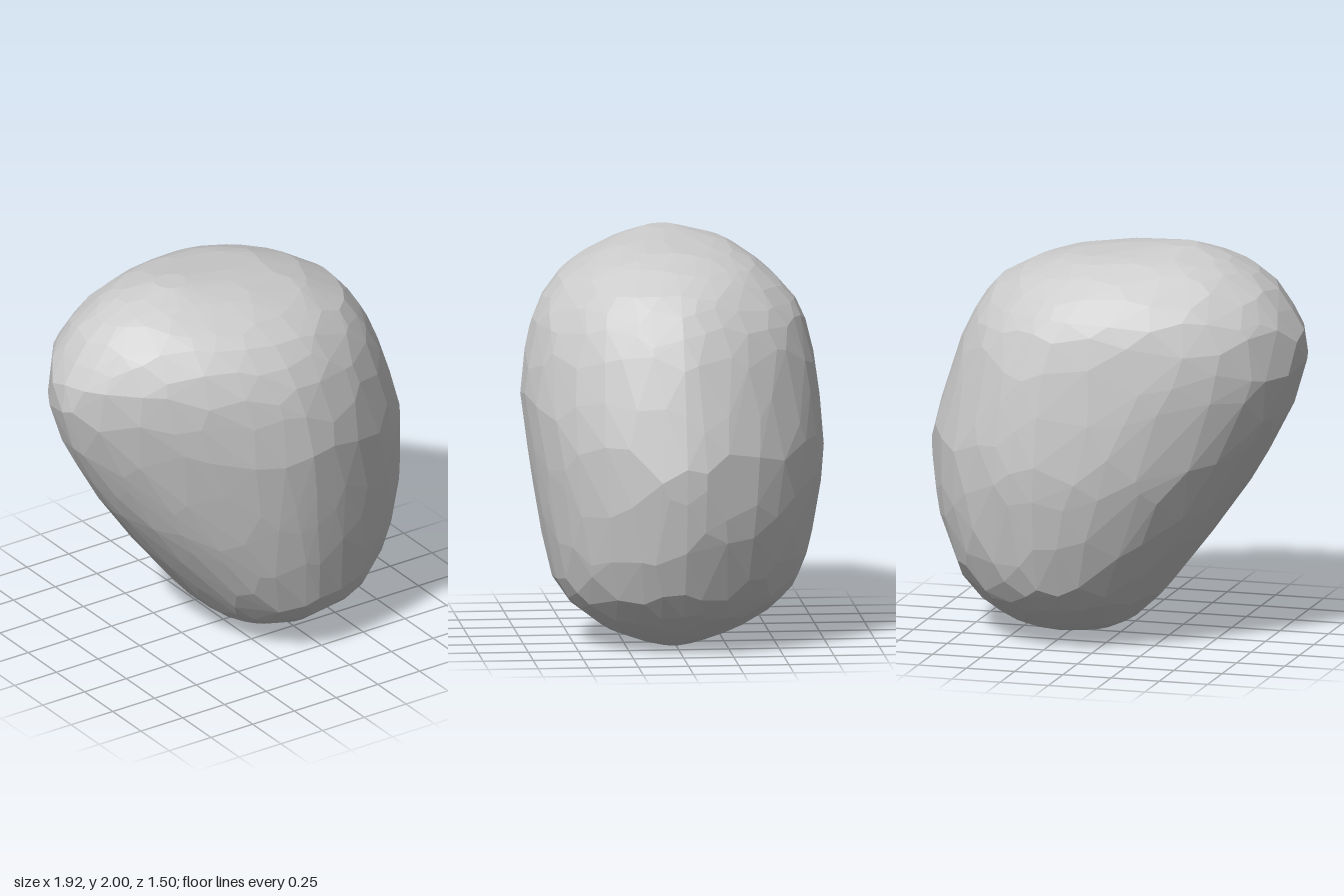
import * as THREE from 'three';
import { ConvexGeometry } from 'three/addons/geometries/ConvexGeometry.js';

// Level cross-sections: height, left/right x, back/front z, x of the front and back crests,
// and the bulge of the front flank on the -x side and of the other flanks (lower = flatter).
const SECTIONS = [
  [0.00, 0.20, 0.37, -0.05, 0.08, 0.30, 0.30, 2.0, 2.0],
  [0.03, 0.04, 0.49, -0.17, 0.20, 0.27, 0.27, 2.1, 2.0],
  [0.09, -0.08, 0.60, -0.34, 0.36, 0.23, 0.26, 2.1, 2.0],
  [0.20, -0.20, 0.74, -0.51, 0.51, 0.20, 0.26, 2.1, 2.02],
  [0.33, -0.30, 0.83, -0.62, 0.60, 0.17, 0.25, 2.0, 2.02],
  [0.55, -0.48, 0.91, -0.69, 0.65, 0.14, 0.25, 1.85, 2.0],
  [0.80, -0.66, 0.95, -0.735, 0.69, 0.10, 0.24, 1.72, 1.97],
  [0.98, -0.77, 0.96, -0.75, 0.715, 0.08, 0.23, 1.6, 1.95],
  [1.23, -0.90, 0.89, -0.73, 0.745, 0.04, 0.22, 1.5, 1.95],
  [1.45, -0.965, 0.82, -0.70, 0.72, 0.01, 0.20, 1.52, 1.97],
  [1.60, -0.95, 0.75, -0.665, 0.68, -0.02, 0.16, 1.6, 2.0],
  [1.70, -0.89, 0.69, -0.62, 0.63, -0.04, 0.10, 1.7, 2.0],
  [1.80, -0.82, 0.60, -0.53, 0.55, -0.06, 0.05, 1.8, 2.05],
  [1.88, -0.72, 0.45, -0.43, 0.43, -0.10, 0.00, 1.9, 2.1],
  [1.95, -0.58, 0.22, -0.30, 0.27, -0.15, -0.15, 2.0, 2.1],
  [2.00, -0.40, -0.24, -0.07, 0.08, -0.32, -0.32, 2.0, 2.0],
];
const LAST = SECTIONS.length - 1;

// Repeatable random numbers for the uneven facets
function seeded(seed) {
  return () => {
    seed = (seed * 16807) % 2147483647;
    return seed / 2147483647;
  };
}

// Smoothly blended section at a fractional row
function sectionAt(row) {
  const r = Math.min(Math.floor(row), LAST - 1), t = row - r;
  const [a, b, c, d] = [r - 1, r, r + 1, r + 2].map(
    (k) => SECTIONS[THREE.MathUtils.clamp(k, 0, LAST)]);
  return b.map((v, i) => v + 0.5 * t * (c[i] - a[i]
    + t * (2 * a[i] - 5 * v + 4 * c[i] - d[i] + t * (3 * (v - c[i]) + d[i] - a[i]))));
}

// Point on a section; each quarter is its own superellipse
function sectionPoint([y, xL, xR, zB, zF, crestF, crestB, flank, bulge], angle) {
  const c = Math.cos(angle), s = Math.sin(angle);
  const front = s >= 0, right = c >= 0;
  const power = front ? (right ? bulge : flank) : (right ? bulge - 0.22 : bulge + 0.06);
  const crest = front ? crestF : crestB;
  const u = Math.pow(Math.abs(c), 2 / power);
  const v = Math.pow(Math.abs(s), 2 / power);
  return new THREE.Vector3(
    crest + u * ((right ? xR : xL) - crest), y, v * (front ? zF : zB));
}

export function createModel() {
  const random = seeded(71);
  const points = [];
  const count = 32;

  for (let row = 0; row <= LAST; row++) {
    for (let i = 0; i < count; i++) {
      // The four extremes stay exact, the rest wander along and between the sections
      const loose = i % 8 === 0 ? 0 : 1;
      const turn = loose * (random() - 0.5) * 0.7;
      const rise = row > 0 && row < LAST ? loose * (random() - 0.5) * 0.9 : 0;
      points.push(sectionPoint(sectionAt(row + rise), ((i + turn) / count) * Math.PI * 2));
    }
  }

  // The hull merges the points into irregular flat facets
  const stone = new THREE.Mesh(
    new ConvexGeometry(points),
    new THREE.MeshStandardMaterial({ color: 0xcccccc, flatShading: true }));
  stone.name = 'stone';

  const group = new THREE.Group();
  group.name = 'boulder';
  group.add(stone);
  return group;
}
